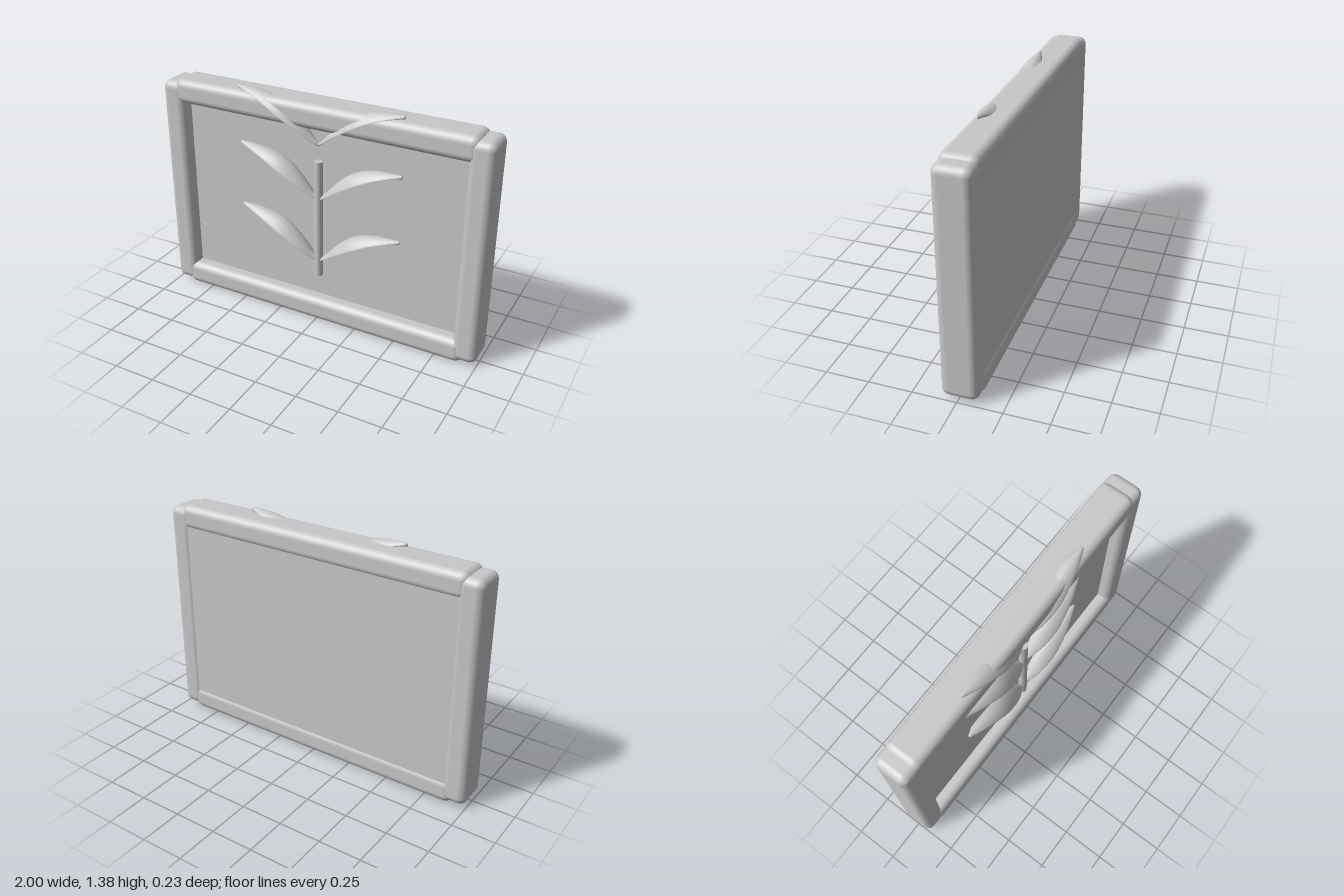
import * as THREE from 'three';
import { RoundedBoxGeometry } from 'three/addons/geometries/RoundedBoxGeometry.js';

const grey = new THREE.MeshStandardMaterial({ color: 0xc8c8c8 });
grey.name = 'plain grey';

function add(parent, name, geometry, x, y, z) {
  const mesh = new THREE.Mesh(geometry, grey);
  mesh.name = name;
  mesh.position.set(x, y, z);
  parent.add(mesh);
}

// Smooth curve through [x, value] points
function curveOf(points) {
  const spline = new THREE.SplineCurve(points.map(p => new THREE.Vector2(...p)));
  return spline.getPoints(24);
}

// Arched blade lofted from thin cross-sections; side is +1 (left) or -1 (right)
function leafGeometry(side) {
  const xs = [0, 0.04, 0.1, 0.16, 0.22, 0.28, 0.35, 0.42, 0.5];
  const ridge = [0, 0.036, 0.104, 0.163, 0.205, 0.228, 0.243, 0.25, 0.252];
  const drop = [0, 0.01, 0.03, 0.05, 0.055, 0.046, 0.03, 0.016, 0.002];
  const width = [0.008, 0.028, 0.056, 0.07, 0.075, 0.07, 0.057, 0.038, 0.008];
  const lines = [ridge, drop, width].map(v => curveOf(xs.map((x, i) => [x, v[i]])));
  const rows = lines[0].length, around = 20, pos = [], index = [];
  for (let i = 0; i < rows; i++) {
    for (let j = 0; j < around; j++) {
      const a = (j / around) * Math.PI * 2, t = Math.cos(a);
      pos.push(side * lines[0][i].x,
        lines[0][i].y - lines[1][i].y * t * t + 0.01 * Math.sin(a),
        lines[2][i].y * t);
    }
  }
  const tri = (a, b, c) => (side > 0 ? index.push(a, c, b) : index.push(a, b, c));
  for (let i = 0; i < rows - 1; i++) {
    for (let j = 0; j < around; j++) {
      const k = (j + 1) % around;
      const a = i * around + j, b = i * around + k, c = a + around, d = b + around;
      tri(a, b, c);
      tri(b, d, c);
    }
  }
  // Close both ends with fans
  const last = (rows - 1) * around;
  for (let j = 1; j < around - 1; j++) {
    tri(0, j + 1, j);
    tri(last, last + j, last + j + 1);
  }
  const g = new THREE.BufferGeometry();
  g.setAttribute('position', new THREE.Float32BufferAttribute(pos, 3));
  g.setIndex(index);
  g.computeVertexNormals();
  return g;
}

export function createModel() {
  const model = new THREE.Group();
  model.name = 'framedPlantPanel';

  // Rounded frame: two rails between two slightly shorter posts
  const frame = new THREE.Group();
  frame.name = 'frame';
  model.add(frame);
  const depth = 0.208, midZ = -0.011;
  const rail = new RoundedBoxGeometry(1.83, 0.146, depth, 3, 0.045);
  add(frame, 'bottomRail', rail, 0, 0.073, midZ);
  add(frame, 'topRail', rail, 0, 1.283, midZ);
  const post = new RoundedBoxGeometry(0.142, 1.318, depth, 3, 0.045);
  add(frame, 'leftPost', post, 0.929, 0.678, midZ);
  add(frame, 'rightPost', post, -0.929, 0.678, midZ);

  // Panel recessed at the front and nearly flush at the back, its edges set into the frame
  const front = 0.013, back = -0.107;
  add(model, 'panel', new THREE.BoxGeometry(1.8, 1.15, front - back), 0, 0.678, (front + back) / 2);

  // Stem with three pairs of leaves
  const plant = new THREE.Group();
  plant.name = 'plant';
  model.add(plant);
  add(plant, 'stem', new THREE.CylinderGeometry(0.025, 0.025, 0.725, 20), 0, 0.657, 0.04);
  const left = leafGeometry(1), right = leafGeometry(-1);
  for (const y of [0.388, 0.783, 1.118]) {
    add(plant, 'leftLeaf', left, 0, y, 0.04);
    add(plant, 'rightLeaf', right, 0, y, 0.04);
  }
  return model;
}
